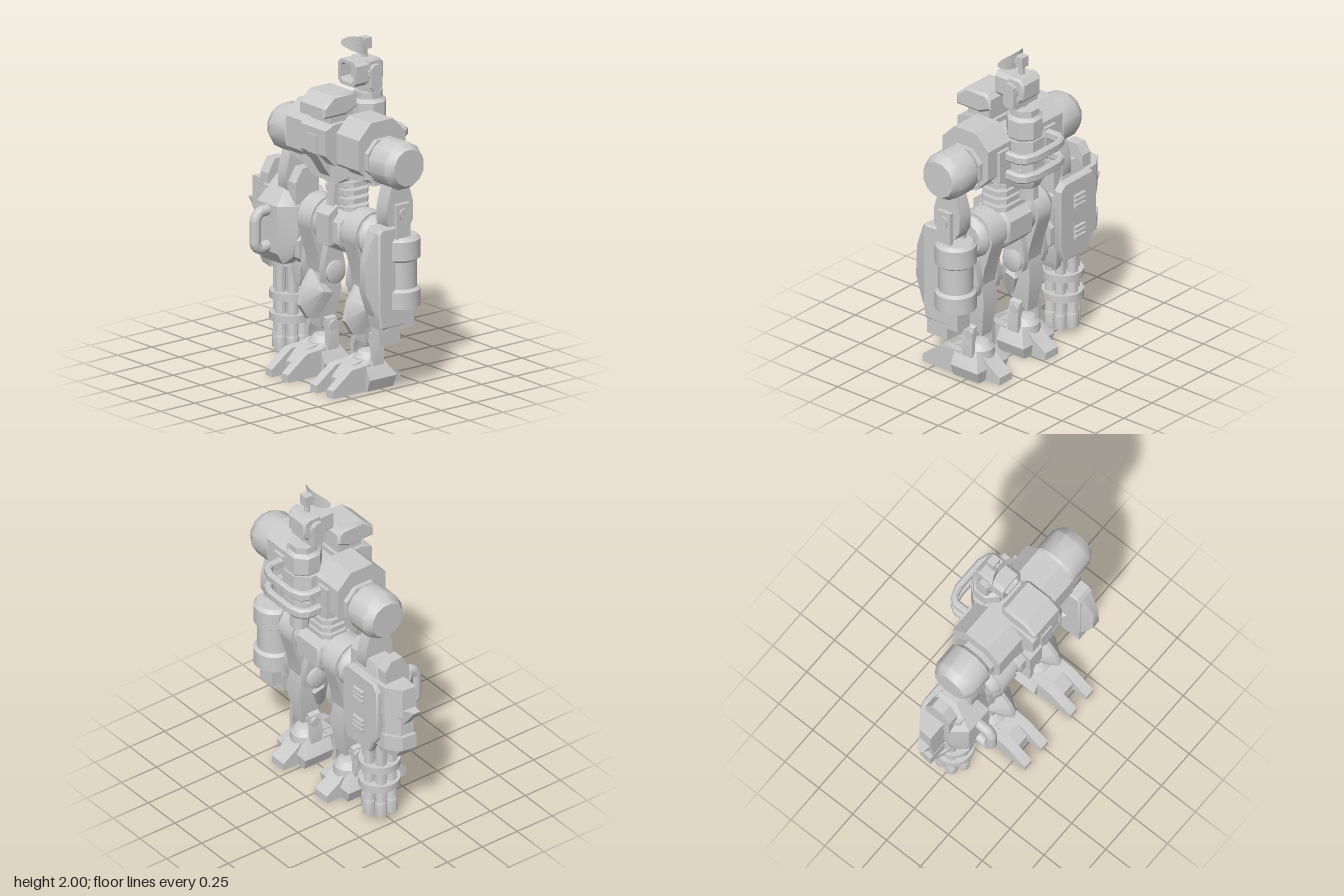
import * as THREE from 'three';
import { toCreasedNormals } from 'three/addons/utils/BufferGeometryUtils.js';
import { ConvexGeometry } from 'three/addons/geometries/ConvexGeometry.js';

const mat = new THREE.MeshStandardMaterial({ color: 0xcccccc, side: THREE.DoubleSide });
const CX = 0.135; // centre line of the body

function add(parent, name, geo, x = 0, y = 0, z = 0) {
  const m = new THREE.Mesh(toCreasedNormals(geo, 0.55), mat);
  m.name = name;
  m.position.set(x, y, z);
  parent.add(m);
  return m;
}
function group(parent, name, x = 0, y = 0, z = 0) {
  const g = new THREE.Group();
  g.name = name;
  g.position.set(x, y, z);
  parent.add(g);
  return g;
}
// box given by its limits
function box(parent, name, x0, x1, y0, y1, z0, z1) {
  return add(parent, name, new THREE.BoxGeometry(x1 - x0, y1 - y0, z1 - z0), (x0 + x1) / 2, (y0 + y1) / 2, (z0 + z1) / 2);
}
function extrude(pts, depth, bevel) {
  const shape = pts instanceof THREE.Shape ? pts : new THREE.Shape(pts.map(p => new THREE.Vector2(...p)));
  const g = new THREE.ExtrudeGeometry(shape, {
    depth: depth - 2 * bevel, bevelEnabled: bevel > 0, bevelSize: bevel, bevelThickness: bevel,
    bevelOffset: -bevel, bevelSegments: 1, curveSegments: 12,
  });
  return g.translate(0, 0, bevel);
}
// [z, y] profile swept along x; [x, y] along z; [x, z] along y
const prismX = (pts, x0, x1, b = 0) => extrude(pts, x1 - x0, b).rotateY(-Math.PI / 2).translate(x1, 0, 0);
const prismZ = (pts, z0, z1, b = 0) => extrude(pts, z1 - z0, b).translate(0, 0, z0);
const prismY = (pts, y0, y1, b = 0) => extrude(pts, y1 - y0, b).rotateX(Math.PI / 2).translate(0, y1, 0);
const hull = pts => new ConvexGeometry(pts.map(p => new THREE.Vector3(...p)));
const mirrored = pts => pts.flatMap(([x, y, z]) => [[x, y, z], [-x, y, z]]);
// lathe of [radius, height] pairs, optionally lying along x
function turned(pts, sides, alongX = false) {
  const g = new THREE.LatheGeometry(pts.map(p => new THREE.Vector2(...p)), sides, Math.PI / sides);
  return alongX ? g.rotateZ(-Math.PI / 2) : g;
}
const drum = (r, h, sides = 24, alongX = false) =>
  turned([[0, -h / 2], [r, -h / 2], [r, h / 2], [0, h / 2]], sides, alongX);
const chamfered = (z0, z1, y0, y1, c) => [[z0 + c, y0], [z1 - c, y0], [z1, y0 + c], [z1, y1 - c],
  [z1 - c, y1], [z0 + c, y1], [z0, y1 - c], [z0, y0 + c]];

function buildTorso(root) {
  const t = group(root, 'torso', CX);
  for (const s of [-1, 1]) {
    const span = (a, b) => (s > 0 ? [a, b] : [-b, -a]);
    add(t, 'shoulderBlock', prismX(chamfered(-0.17, 0.17, 1.24, 1.6, 0.09), ...span(0.125, 0.33)));
    add(t, 'shoulderCollar', prismX(chamfered(-0.13, 0.13, 1.26, 1.5, 0.07), ...span(0.32, 0.36)));
    const cap = turned([[0, 0], [0.105, 0], [0.142, 0.045], [0.142, 0.185], [0.118, 0.225], [0.11, 0.238], [0, 0.238]], 12, true);
    const joint = add(t, 'shoulderJoint', cap, s * 0.335, 1.375, 0);
    joint.rotation.y = s > 0 ? 0 : Math.PI;
    box(t, 'railMount', ...span(0.16, 0.25), 1.28, 1.48, -0.19, -0.1);
    add(t, 'chestWing', prismZ([[s * 0.1, 1.22], [s * 0.2, 1.24], [s * 0.34, 1.27], [s * 0.33, 1.32], [s * 0.1, 1.32]], -0.1, 0.13));
  }
  box(t, 'chestCore', -0.13, 0.13, 1.25, 1.53, -0.12, 0.12);
  add(t, 'chestFront', prismX([[0, 1.31], [0.17, 1.31], [0.24, 1.38], [0.24, 1.53], [0.17, 1.56], [0, 1.56]], -0.115, 0.115));
  add(t, 'chestKeel', prismX([[0, 1.2], [0.13, 1.2], [0.2, 1.3], [0.25, 1.38], [0.25, 1.49], [0, 1.49]], -0.045, 0.045));
  add(t, 'belly', prismZ([[-0.1, 1.2], [0.1, 1.2], [0.21, 1.26], [0.2, 1.32], [-0.2, 1.32], [-0.21, 1.26]], -0.12, 0.15));
  box(t, 'canopyNeck', -0.09, 0.09, 1.52, 1.62, 0.02, 0.18);
  add(t, 'canopy', prismX([[0.08, 1.6], [0.255, 1.6], [0.255, 1.665], [0.18, 1.73], [0.03, 1.73], [0, 1.7], [0, 1.635]], -0.115, 0.115, 0.015));
  // spine with ribs
  box(t, 'spine', -0.06, 0.06, 0.98, 1.25, -0.08, 0.06);
  add(t, 'spineGuard', prismX([[0.04, 0.98], [0.12, 0.98], [0.1, 1.22], [0.04, 1.22]], -0.03, 0.03));
  for (let i = 0; i < 4; i++) add(t, 'rib', prismY(chamfered(-0.125, 0.125, -0.1, 0.08, 0.04), 1.01 + i * 0.05, 1.04 + i * 0.05));
  // pelvis
  add(t, 'pelvis', prismX(chamfered(-0.14, 0.14, 0.775, 1.02, 0.06), -0.11, 0.11, 0.015));
  add(t, 'pelvisPlate', prismX([[0.1, 0.82], [0.17, 0.82], [0.17, 1.0], [0.1, 1.05]], -0.055, 0.055));
  add(t, 'hipAxle', turned([[0, -0.32], [0.1, -0.32], [0.13, -0.28], [0.13, 0.28], [0.1, 0.32], [0, 0.32]], 12, true), 0, 0.9, 0);
}

function buildBackTower(root) {
  const b = group(root, 'backTower', CX, 0, -0.165);
  add(b, 'column', turned([[0, 1.19], [0.09, 1.19], [0.115, 1.24], [0.115, 1.32], [0.1, 1.34],
    [0.1, 1.5], [0.108, 1.51], [0.108, 1.62], [0.085, 1.64], [0.085, 1.68], [0, 1.68]], 8));
  add(b, 'columnFoot', drum(0.058, 0.12, 8), 0, 1.17, -0.03);
  add(b, 'backPack', prismY([[-0.115, 0.06], [-0.115, -0.03], [-0.05, -0.105], [0.05, -0.105], [0.115, -0.03], [0.115, 0.06]], 1.25, 1.5));
  // guard rails
  const half = [[0.2, 0.04], [0.2, -0.11], [0.17, -0.155], [0.1, -0.18]];
  const inner = [[0.158, 0.04], [0.158, -0.1], [0.14, -0.125], [0.09, -0.14]];
  const flip = a => a.map(([x, z]) => [-x, z]);
  const outline = [...half, ...flip(half).reverse(), ...flip(inner), ...inner.slice().reverse()];
  for (const y of [1.32, 1.44]) add(b, 'guardRail', prismY(outline, y - 0.03, y + 0.03, 0.012));
}

function buildHead(root) {
  const h = group(root, 'head', CX, 0, -0.14);
  add(h, 'neck', drum(0.035, 0.12, 12), 0, 1.72, 0);
  box(h, 'yoke', -0.1, 0.1, 1.69, 1.735, -0.035, 0.035);
  add(h, 'headShell', prismX([[-0.08, 1.76], [-0.05, 1.73], [0.04, 1.73], [0.04, 1.88], [-0.05, 1.88], [-0.08, 1.85]], -0.078, 0.078, 0.012));
  const frame = new THREE.Shape(chamfered(-0.08, 0.08, 1.73, 1.88, 0.025).map(p => new THREE.Vector2(...p)));
  frame.holes.push(new THREE.Path(chamfered(-0.058, 0.058, 1.75, 1.86, 0.02).map(p => new THREE.Vector2(...p))));
  add(h, 'lensHood', prismZ(frame, 0.03, 0.13));
  box(h, 'lens', -0.05, 0.05, 1.755, 1.855, 0.03, 0.06);
  for (const s of [-1, 1]) {
    add(h, 'headPivot', drum(0.045, 0.03, 8, true), s * 0.088, 1.8, 0);
    add(h, 'yokeArm', prismX(chamfered(-0.038, 0.038, 1.7, 1.855, 0.02), s * 0.102 - 0.013, s * 0.102 + 0.013));
  }
  // antenna: elliptical plate bowed towards the front
  add(h, 'antennaMast', drum(0.018, 0.12, 10), 0, 1.92, 0);
  box(h, 'antennaBox', -0.028, 0.028, 1.93, 1.995, -0.03, 0.02);
  box(h, 'antennaHub', -0.015, 0.015, 1.94, 1.965, 0, 0.045);
  const dish = new THREE.SphereGeometry(1, 32, 10, 0, Math.PI * 2, 0, Math.PI / 2).rotateX(Math.PI / 2);
  const p = dish.attributes.position;
  for (let i = 0; i < p.count; i++) {
    const x = p.getX(i) * 0.115;
    p.setXYZ(i, x, p.getY(i) * 0.048, 0.04 + 3.2 * x * x);
  }
  add(h, 'antennaDish', dish, 0, 1.952, 0);
}

function buildLeg(root, x, name) {
  const g = group(root, name, x);
  const thigh = new THREE.Shape();
  thigh.absarc(0, 0.9, 0.142, -0.25, Math.PI + 0.25, false);
  thigh.lineTo(-0.085, 0.7); thigh.lineTo(-0.06, 0.57); thigh.lineTo(0.06, 0.57); thigh.lineTo(0.085, 0.7);
  add(g, 'thigh', prismX(thigh, -0.06, 0.06));
  for (const s of [-1, 1]) {
    const at = s * 0.083;
    add(g, 'kneeBracket', prismX([[-0.06, 0.54], [0.06, 0.54], [0.08, 0.62], [0.05, 0.76], [-0.05, 0.76], [-0.08, 0.62]], at - 0.022, at + 0.022));
    const disc = turned([[0, -0.02], [0.068, -0.02], [0.068, 0.01], [0.045, 0.02], [0, 0.02]], 20, true);
    add(g, 'kneeDisc', disc, s * 0.112, 0.6, 0).rotation.y = s > 0 ? 0 : Math.PI;
    // bowed ankle strut
    add(g, 'ankleStrut', prismZ([[s * 0.06, 0.33], [s * 0.085, 0.32], [s * 0.105, 0.24], [s * 0.105, 0.14], [s * 0.075, 0.14], [s * 0.075, 0.23], [s * 0.055, 0.28]], -0.03, 0.045));
    // front toes
    add(g, 'toe', prismX([[0.06, 0], [0.34, 0], [0.34, 0.045], [0.2, 0.145], [0.06, 0.155]], s * 0.073 - 0.03, s * 0.073 + 0.03));
  }
  add(g, 'shin', hull(mirrored([[0.05, 0.62, -0.06], [0.05, 0.62, 0.06], [0.065, 0.48, -0.085], [0.065, 0.48, 0.08],
    [0.04, 0.26, -0.05], [0.04, 0.26, 0.05]])));
  add(g, 'shinGuard', hull(mirrored([[0.012, 0.61, 0.09], [0.09, 0.49, 0.07], [0.04, 0.32, 0.06], [0.015, 0.32, 0.12],
    [0.012, 0.53, 0.15], [0.015, 0.41, 0.18], [0.09, 0.47, 0.0]])));
  add(g, 'anklePin', drum(0.03, 0.21, 14, true), 0, 0.28, 0);
  add(g, 'ankleDome', turned([[0.09, 0], [0.085, 0.05], [0.055, 0.085], [0, 0.1]], 16), 0, 0.12, 0);
  add(g, 'footBody', hull(mirrored([[0.115, 0, 0.1], [0.138, 0.07, 0.1], [0.1, 0.15, 0.1], [0.115, 0, -0.09], [0.138, 0.07, -0.1],
    [0.075, 0.18, 0.04], [0.075, 0.17, -0.04]])));
  add(g, 'footBridge', prismX([[0.05, 0.02], [0.235, 0.02], [0.235, 0.08], [0.16, 0.15], [0.05, 0.17]], -0.045, 0.045));
  add(g, 'heel', prismX([[-0.05, 0], [-0.05, 0.16], [-0.11, 0.1], [-0.195, 0.045], [-0.195, 0]], -0.055, 0.055));
}

function upperArm(parent, x, halfWidth) {
  add(parent, 'upperArm', prismX([[-0.06, 0.98], [0.06, 0.98], [0.095, 1.04], [0.095, 1.14], [0.06, 1.26], [-0.06, 1.26], [-0.095, 1.14], [-0.095, 1.04]],
    x - halfWidth, x + halfWidth));
}

function buildLeftArm(root) {
  const a = group(root, 'leftArm', 0.585);
  upperArm(a, -0.005, 0.048);
  add(a, 'elbowPin', drum(0.035, 0.17, 16, true), 0, 1.09, 0);
  for (const s of [-1, 1]) box(a, 'elbowFork', s * 0.06 - 0.014, s * 0.06 + 0.014, 0.9, 1.15, -0.05, 0.05);
  add(a, 'forearmDrum', turned([[0, 0.53], [0.12, 0.53], [0.12, 0.63], [0.1, 0.645], [0.1, 0.805], [0.12, 0.82],
    [0.12, 0.93], [0.1, 0.95], [0, 0.95]], 24), 0, 0, -0.03);
  add(a, 'forearmShield', prismX([[-0.02, 0.42], [0.15, 0.42], [0.17, 0.52], [0.17, 0.99], [0.15, 1.02], [-0.02, 1.02]], -0.06, 0.06, 0.01));
  // wedge on the shield front
  add(a, 'shieldRidge', hull(mirrored([[0.055, 0.5, 0.15], [0.05, 0.98, 0.15], [0.035, 1.0, 0.18], [0.028, 0.65, 0.242], [0.02, 0.84, 0.242], [0.04, 0.5, 0.18]])));
  box(a, 'wristBlock', -0.055, 0.055, 0.4, 0.55, -0.09, 0.1);
  box(a, 'armBarrel', -0.04, 0.04, 0.32, 0.46, 0.0, 0.15);
}

function buildGunArm(root) {
  const a = group(root, 'gunArm', -0.37);
  upperArm(a, 0.05, 0.038);
  // faceted housing
  add(a, 'gunTop', hull(mirrored([[0.05, 1.1, 0.04], [0.05, 1.1, -0.08], [0.165, 0.94, 0.07], [0.165, 0.94, -0.12],
    [0.09, 0.94, 0.165], [0.09, 0.94, -0.12]])));
  add(a, 'gunHousing', hull(mirrored([[0.165, 0.94, 0.07], [0.165, 0.94, -0.12], [0.09, 0.94, 0.165],
    [0.09, 0.66, 0.165], [0.14, 0.64, 0.09], [0.165, 0.78, 0.07], [0.14, 0.62, -0.12], [0.09, 0.59, 0.12], [0.12, 0.59, -0.12]])));
  add(a, 'backPlate', prismZ([[-0.12, 0.6], [-0.08, 0.52], [0.12, 0.52], [0.165, 0.62], [0.165, 0.98], [0.12, 1.02], [-0.12, 1.02], [-0.16, 0.97], [-0.16, 0.66]], -0.145, -0.09, 0.01));
  for (const x of [-0.13, 0.12]) {
    add(a, 'topLug', prismX([[-0.09, 0.92], [0.08, 0.92], [0.08, 1.08], [0.03, 1.16], [-0.05, 1.16], [-0.09, 1.1]], x - 0.036, x + 0.036));
  }
  for (let j = 0; j < 2; j++) for (let i = 0; i < 3; i++) {
    const y = 0.64 + j * 0.2 + i * 0.03;
    box(a, 'vent', -0.04, 0.05, y, y + 0.02, -0.165, -0.12);
  }
  // side magazine with bands and a fin, slimmer towards the outside
  const plan = k => [[-0.285, 0.04], [-0.16, 0.04], [-0.1, 0.11], [-0.06, 0.11], [-0.06, -0.125], [-0.19, -0.115], [-0.275, -0.05]]
    .map(([x, z]) => [-0.06 + (x + 0.06) * k, z * k]);
  add(a, 'magazine', prismY(plan(0.9), 0.58, 0.98));
  for (const [y0, y1] of [[0.6, 0.69], [0.83, 1.02]]) add(a, 'magazineBand', prismY(plan(1), y0, y1));
  add(a, 'magazineFoot', hull([[-0.26, 0.6, 0.03], [-0.26, 0.6, -0.05], [-0.21, 0.52, 0.03], [-0.21, 0.52, -0.05],
    [-0.1, 0.52, 0.06], [-0.1, 0.52, -0.08], [-0.1, 0.6, 0.08], [-0.1, 0.6, -0.1]]));
  add(a, 'fin', hull([[-0.34, 0.88, 0.025], [-0.34, 0.88, -0.015], [-0.24, 0.88, 0.04], [-0.24, 0.88, -0.07], [-0.21, 0.7, 0.02], [-0.21, 0.7, -0.05]]));
  add(a, 'innerBlock', prismX(chamfered(-0.09, 0.08, 0.6, 0.78, 0.04), 0.12, 0.185));
  // front handle
  const bar = new THREE.CurvePath();
  const pts = [[0.12, 0.7], [0.225, 0.68], [0.253, 0.71], [0.253, 0.86], [0.225, 0.9], [0.1, 0.91]].map(([z, y]) => new THREE.Vector3(0, y, z));
  for (let i = 1; i < pts.length; i++) bar.add(new THREE.LineCurve3(pts[i - 1], pts[i]));
  add(a, 'handle', new THREE.TubeGeometry(bar, 40, 0.033, 12));
  // rotary barrels
  const r = group(a, 'rotaryBarrels', -0.01, 0, -0.015);
  add(r, 'barrelHub', drum(0.115, 0.08, 16), 0, 0.6, 0);
  add(r, 'barrelShroud', hull([[0.09, 0.46, 0.05], [0.09, 0.46, -0.06], [0.13, 0.45, 0.04], [0.13, 0.45, -0.06], [0.15, 0.5, 0.05], [0.15, 0.5, -0.08],
    [0.15, 0.64, 0.05], [0.15, 0.64, -0.08], [0.08, 0.64, 0.08], [0.08, 0.64, -0.09]]));
  add(r, 'barrelCore', drum(0.035, 0.5, 10), 0, 0.39, 0);
  for (const y of [0.245, 0.375]) add(r, 'barrelClamp', drum(0.122, 0.045), 0, y, 0);
  for (let i = 0; i < 6; i++) {
    const t = (i + 0.5) * Math.PI / 3;
    add(r, 'barrel', turned([[0.02, 0.2], [0.02, 0.045], [0.036, 0.045], [0.036, 0.13], [0.031, 0.14], [0.031, 0.6]], 12),
      Math.cos(t) * 0.073, 0, Math.sin(t) * 0.073);
  }
}

export function createModel() {
  const root = new THREE.Group();
  root.name = 'walkingRobot';
  buildTorso(root);
  buildBackTower(root);
  buildHead(root);
  buildLeg(root, CX + 0.203, 'leftLeg');
  buildLeg(root, CX - 0.203, 'rightLeg');
  buildLeftArm(root);
  buildGunArm(root);
  return root;
}
